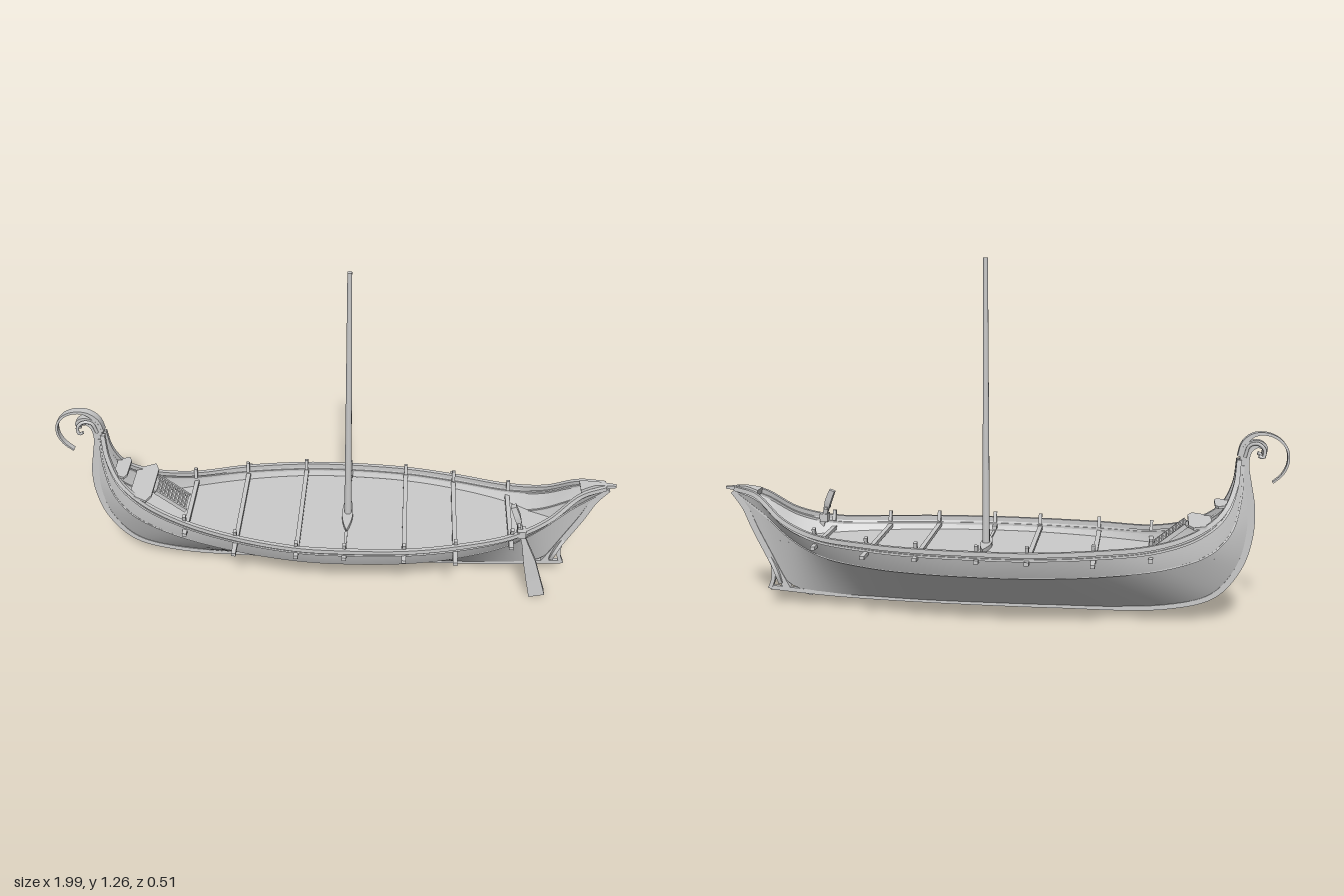
import * as THREE from 'three';
import { toCreasedNormals } from 'three/addons/utils/BufferGeometryUtils.js';

const V = (x, y, z = 0) => new THREE.Vector3(x, y, z);
const mat = new THREE.MeshStandardMaterial({ color: 0xcccccc, side: THREE.DoubleSide });
const N = 70, FLOOR = 0.25;

// Hull stations from bow to stern: [gunwale x,y,z], [chine x,y,z], [keel x,y]
const stations = [
  [[-0.83, 0.59, 0.014], [-0.845, 0.57, 0.013], [-0.86, 0.56]],
  [[-0.82, 0.50, 0.028], [-0.84, 0.45, 0.023], [-0.873, 0.45]],
  [[-0.78, 0.41, 0.055], [-0.81, 0.34, 0.043], [-0.875, 0.34]],
  [[-0.69, 0.345, 0.092], [-0.74, 0.27, 0.072], [-0.84, 0.21]],
  [[-0.55, 0.305, 0.138], [-0.6, 0.225, 0.11], [-0.74, 0.1]],
  [[-0.35, 0.295, 0.2], [-0.37, 0.205, 0.163], [-0.5, 0.053]],
  [[-0.13, 0.29, 0.237], [-0.13, 0.2, 0.198], [-0.2, 0.044]],
  [[0.04, 0.29, 0.241], [0.04, 0.2, 0.203], [0.04, 0.042]],
  [[0.25, 0.29, 0.23], [0.25, 0.2, 0.189], [0.25, 0.042]],
  [[0.43, 0.292, 0.198], [0.43, 0.203, 0.155], [0.43, 0.046]],
  [[0.63, 0.302, 0.142], [0.62, 0.22, 0.098], [0.6, 0.052]],
  [[0.76, 0.342, 0.092], [0.74, 0.265, 0.054], [0.76, 0.08]],
  [[0.87, 0.418, 0.04], [0.845, 0.34, 0.022], [0.84, 0.2]],
  [[0.96, 0.435, 0.012], [0.945, 0.41, 0.01], [0.93, 0.37]],
];
const line = k => new THREE.CatmullRomCurve3(stations.map(s => V(s[k][0], s[k][1], s[k][2] ?? 0.006)));
const gunwale = line(0), chine = line(1), keelLine = line(2);
const flip = (p, side) => V(p.x, p.y, p.z * side);

// Skin over rows of points
function loft(rows, closed = false) {
  const m = rows[0].length, pos = rows.flat().flatMap(p => [p.x, p.y, p.z]), idx = [];
  for (let i = 0; i < rows.length - 1; i++) {
    for (let j = 0; j < (closed ? m : m - 1); j++) {
      const a = i * m + j, b = i * m + (j + 1) % m, c = b + m, d = a + m;
      idx.push(a, d, b, b, d, c);
    }
  }
  if (closed) {
    const e = (rows.length - 1) * m;
    for (let j = 1; j < m - 1; j++) idx.push(0, j, j + 1, e, e + j + 1, e + j);
  }
  const g = new THREE.BufferGeometry();
  g.setAttribute('position', new THREE.Float32BufferAttribute(pos, 3));
  g.setIndex(idx);
  return toCreasedNormals(g, 0.6);
}

// Rectangular bar along a curve; half width w in z, half thickness h across the path
function bar(curve, n, w, h) {
  const f = v => (typeof v === 'function' ? v : () => v), W = f(w), H = f(h), rows = [];
  for (let i = 0; i <= n; i++) {
    const t = i / n, p = curve.getPoint(t), T = curve.getTangent(t);
    const up = V(0, 0, 1).cross(T).normalize().multiplyScalar(H(t)), s = V(0, 0, W(t));
    rows.push([[1, 1], [-1, 1], [-1, -1], [1, -1]].map(([a, b]) =>
      p.clone().addScaledVector(s, a).addScaledVector(up, b)));
  }
  return loft(rows, true);
}
const path = pts => new THREE.CatmullRomCurve3(pts.map(p => V(...p)));
// Piecewise-linear value table over 0..1
const ramp = (...v) => t => {
  const k = Math.min(t * (v.length - 1), v.length - 1.0001), i = Math.floor(k);
  return v[i] + (v[i + 1] - v[i]) * (k - i);
};

export function createModel() {
  const root = new THREE.Group();
  const add = (name, geo, parent = root) => {
    const m = new THREE.Mesh(geo, mat);
    m.name = name;
    parent.add(m);
    return m;
  };
  const box = (name, x, y, z, w, h, d, parent = root) => {
    const m = add(name, new THREE.BoxGeometry(w, h, d), parent);
    m.position.set(x, y, z);
    return m;
  };

  // Hull planking, rails and wales on both sides
  for (const s of [1, -1]) {
    const bottom = [], side = [];
    for (let i = 0; i <= N; i++) {
      const t = i / N, k = flip(keelLine.getPoint(t), s), c = flip(chine.getPoint(t), s), g = flip(gunwale.getPoint(t), s);
      const lap = c.clone();
      lap.z *= 1.03;
      const bulge = lap.clone().lerp(g, 0.5);
      bulge.z *= 1.02;
      const b = [k, k.clone().lerp(c, 0.5), c], u = [c, lap, bulge, g];
      bottom.push(s > 0 ? b : b.reverse());
      side.push(s > 0 ? u : u.reverse());
    }
    add('bottomPlanking', loft(bottom));
    add('sidePlanking', loft(side));
    const along = (a, b, f, out) => path(Array.from({ length: N + 1 }, (_, i) => {
      const p = a.getPoint(i / N).lerp(b.getPoint(i / N), f);
      return [p.x, p.y, p.z * s * out];
    }));
    add('gunwaleRail', bar(along(gunwale, chine, 0, 1), N, 0.007, 0.008));
    add('upperWale', bar(along(gunwale, chine, 0.22, 1.02), N, 0.004, 0.004));
    add('chineWale', bar(along(chine, keelLine, 0, 1.01), N, 0.003, 0.003));
  }

  // Level floor deck, cut to the hull
  const floor = [];
  for (let i = 0; i <= 50; i++) {
    const t = 0.235 + 0.68 * i / 50, c = chine.getPoint(t);
    const o = (c.y < FLOOR ? gunwale : keelLine).getPoint(t);
    const p = c.clone().lerp(o, (FLOOR - c.y) / (o.y - c.y));
    floor.push([p, V(p.x, FLOOR, 0), flip(p, -1)]);
  }
  add('floorDeck', loft(floor));

  // Keel with curved stem, sternpost and skeg
  add('stemAndKeel', bar(path([[-0.912, 0.61], [-0.913, 0.633], [-0.888, 0.645], [-0.857, 0.627], [-0.848, 0.58],
    [-0.862, 0.5], [-0.876, 0.42], [-0.874, 0.32], [-0.843, 0.21], [-0.76, 0.105], [-0.6, 0.056], [-0.2, 0.042],
    [0.3, 0.042], [0.6, 0.05], [0.84, 0.066]]), 110, ramp(0.01, 0.014, 0.014, 0.012, 0.01, 0.008, 0.007),
    ramp(0.007, 0.012, 0.018, 0.014, 0.013, 0.011, 0.009, 0.008, 0.008, 0.008)));
  add('sternPost', bar(path([[0.775, 0.065], [0.805, 0.12], [0.845, 0.2], [0.89, 0.29], [0.925, 0.37], [0.965, 0.425]]),
    20, 0.011, 0.012));
  add('sternTip', bar(path([[0.87, 0.422], [0.92, 0.433], [0.995, 0.436]]), 8, ramp(0.028, 0.012, 0.006), ramp(0.012, 0.012, 0.004)));
  add('skegBrace', bar(path([[0.845, 0.21], [0.828, 0.15], [0.828, 0.1], [0.842, 0.062]]), 10, 0.009, 0.007));
  for (const s of [1, -1]) {
    add('sternCheek', bar(path([[0.838, 0.178, s * 0.008], [0.822, 0.155, s * 0.016],
      [0.806, 0.12, s * 0.021], [0.798, 0.085, s * 0.016]]), 12, ramp(0.003, 0.007, 0.007, 0.003), 0.007));
    // Scrolls flanking the stem head
    add('stemScroll', new THREE.TubeGeometry(path([[-0.848, 0.6, s * 0.014], [-0.862, 0.64, s * 0.018],
      [-0.89, 0.648, s * 0.023], [-0.912, 0.628, s * 0.027], [-0.908, 0.602, s * 0.029], [-0.893, 0.608, s * 0.028]]), 24, 0.006, 6));
  }

  // Large thin curl at the bow
  add('stemCurl', bar(path([[-0.835, 0.6], [-0.845, 0.645], [-0.875, 0.674], [-0.915, 0.68], [-0.96, 0.663],
    [-0.99, 0.625], [-0.993, 0.58], [-0.975, 0.54], [-0.945, 0.512]]), 36, ramp(0.014, 0.012, 0.01), ramp(0.012, 0.005, 0.004, 0.003)));

  // Crossbeams through the planking, with pegs on the rails
  const railZ = x => {
    let lo = 0, hi = 1;
    for (let i = 0; i < 25; i++) {
      const m = (lo + hi) / 2;
      if (gunwale.getPoint(m).x < x) lo = m; else hi = m;
    }
    return gunwale.getPoint(lo);
  };
  for (const x of [-0.54, -0.35, -0.13, 0.04, 0.25, 0.43, 0.63]) {
    const r = railZ(x), half = Math.abs(x) > 0.5 ? 0.163 : 0.255;
    if (x !== 0.04) box('crossbeam', x, 0.264, 0, 0.016, 0.013, half * 2);
    for (const s of [1, -1]) {
      if (x === 0.04) box('beamEnd', x, 0.264, s * 0.23, 0.016, 0.013, 0.05);
      const peg = box('railPeg', x, r.y + 0.008, s * (r.z - 0.009), 0.012, 0.04, 0.013);
      peg.rotation.x = s * 0.2;
    }
  }

  // Mast and its lens-shaped step
  const mast = add('mast', new THREE.CylinderGeometry(0.008, 0.0135, 1.015, 10));
  mast.position.set(0.041, 0.7575, 0);
  const lens = new THREE.Shape();
  lens.moveTo(0, -0.1);
  lens.quadraticCurveTo(0.04, 0, 0, 0.1);
  lens.quadraticCurveTo(-0.04, 0, 0, -0.1);
  const step = add('mastStep', new THREE.ExtrudeGeometry(lens, { depth: 0.015, bevelEnabled: false, curveSegments: 8 }));
  step.rotation.x = -Math.PI / 2;
  step.position.set(0.04, FLOOR, 0);
  box('mastKeelson', 0.04, FLOOR + 0.002, 0, 0.01, 0.008, 0.4);

  // Fore platforms with pointed ends, and the slatted ladder
  const plank = (name, x, y, w, half) => {
    const sh = new THREE.Shape([[-w, -half * 0.7], [w * 0.6, -half], [w, -half * 0.7], [w, half * 0.7], [w * 0.6, half], [-w, half * 0.7]]
      .map(p => new THREE.Vector2(...p)));
    const m = add(name, new THREE.ExtrudeGeometry(sh, { depth: 0.009, bevelEnabled: false }));
    m.rotation.x = -Math.PI / 2;
    m.position.set(x, y, 0);
  };
  plank('forePlatform', -0.705, 0.362, 0.04, 0.108);
  plank('bowSeat', -0.778, 0.427, 0.025, 0.06);
  const ladder = new THREE.Group();
  ladder.name = 'ladder';
  ladder.position.set(-0.605, 0.318, 0);
  ladder.rotation.z = -0.68;
  for (const s of [1, -1]) box('ladderRail', 0, 0, s * 0.042, 0.135, 0.016, 0.008, ladder);
  for (let i = 0; i < 9; i++) box('ladderSlat', -0.06 + i * 0.015, 0, 0, 0.006, 0.012, 0.084, ladder);
  root.add(ladder);

  // Steering oar and its mount
  add('steeringOar', bar(path([[0.628, 0.412, 0.103], [0.645, 0.37, 0.108], [0.663, 0.31, 0.114], [0.682, 0.25, 0.118],
    [0.705, 0.17, 0.12], [0.725, 0.09, 0.121], [0.745, 0.012, 0.12]]), 30,
    ramp(0.01, 0.013, 0.007, 0.008, 0.01, 0.011, 0.017), ramp(0.01, 0.011, 0.007, 0.011, 0.022, 0.026, 0.029)));
  box('oarMount', 0.664, 0.305, 0.12, 0.03, 0.03, 0.035);
  box('tiller', 0.652, 0.343, 0.118, 0.01, 0.01, 0.05);
  return root;
}
